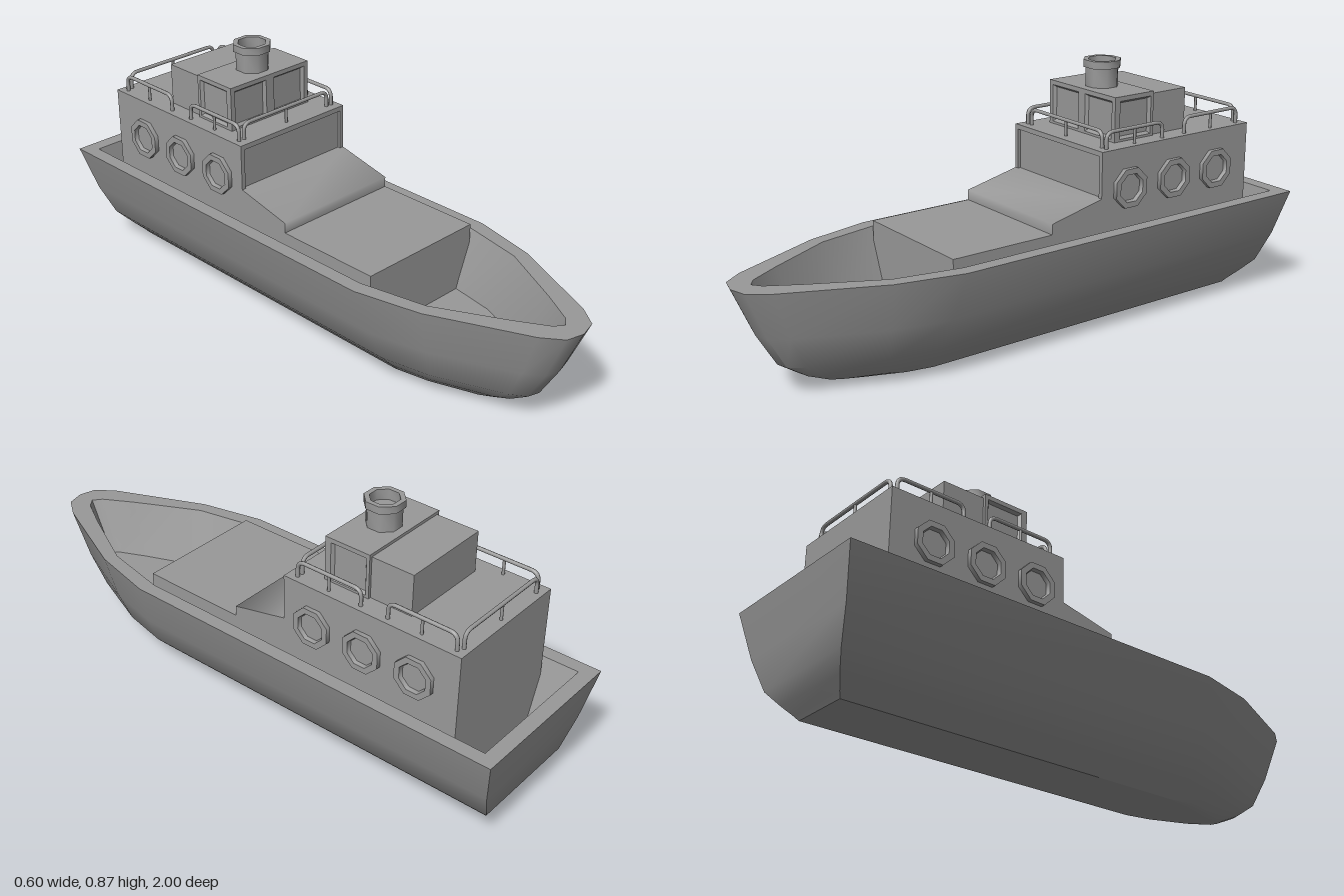
import * as THREE from 'three';
import { toCreasedNormals } from 'three/addons/utils/BufferGeometryUtils.js';

const material = new THREE.MeshStandardMaterial({ color: 0x999999, side: THREE.DoubleSide });

function add(parent, name, geometry, x = 0, y = 0, z = 0) {
  const mesh = new THREE.Mesh(geometry, material);
  mesh.name = name;
  mesh.position.set(x, y, z);
  parent.add(mesh);
  return mesh;
}

function box(parent, name, x0, x1, y0, y1, z0, z1) {
  return add(parent, name, new THREE.BoxGeometry(x1 - x0, y1 - y0, z1 - z0),
    (x0 + x1) / 2, (y0 + y1) / 2, (z0 + z1) / 2);
}

// Bow curves as fractions of half width and taper length
const outerBow = [[0.2, 0.975], [0.36, 0.87], [0.83, 0.36], [1, 0]];
const innerBow = [[0.12, 0.96], [0.36, 0.78], [0.82, 0.39], [1, 0]];

// Plan outline at one height: straight sides, pointed bow, flat stern
function hullRing([y, w, bow, stern, start, curve]) {
  const half = curve.map(([fx, fz]) => [fx * w, start + fz * (bow - start)]);
  half.push([w, stern]);
  const mirrored = half.map(([x, z]) => [-x, z]).reverse();
  return [[0, bow], ...half, ...mirrored].map(([x, z]) => [x, y, z]);
}

// Hull lofted up the outside, over the rim and down to the inner floor
function hullGeometry() {
  const levels = [
    // y, half width, bow z, stern z, where the taper starts, bow curve
    [0, 0.105, 0.63, -0.88, 0.38, outerBow],
    [0.015, 0.118, 0.71, -0.89, 0.4, outerBow],
    [0.05, 0.153, 0.79, -0.915, 0.41, outerBow],
    [0.1, 0.2, 0.865, -0.945, 0.41, outerBow],
    [0.21, 0.25, 0.93, -0.97, 0.4, outerBow],
    [0.37, 0.298, 1, -1, 0.38, outerBow],
    [0.37, 0.25, 0.935, -0.95, 0.36, innerBow],
    [0.18, 0.18, 0.85, -0.915, 0.34, innerBow],
  ];
  const rings = levels.map(hullRing);
  const n = rings[0].length;
  const positions = rings.flat(2);
  const index = [];
  for (let i = 0; i < rings.length - 1; i++) {
    for (let j = 0; j < n; j++) {
      const k = (j + 1) % n;
      const a = i * n + j, b = i * n + k, c = b + n, d = a + n;
      index.push(a, b, c, a, c, d);
    }
  }
  // Keel plate and inner floor
  const keel = rings.length * n, floor = keel + 1, top = (rings.length - 1) * n;
  positions.push(0, 0, 0, 0, 0.18, 0);
  for (let j = 0; j < n; j++) {
    const k = (j + 1) % n;
    index.push(keel, k, j, floor, top + j, top + k);
  }
  const geometry = new THREE.BufferGeometry();
  geometry.setAttribute('position', new THREE.Float32BufferAttribute(positions, 3));
  geometry.setIndex(index);
  return toCreasedNormals(geometry, 0.74);
}

const shapeOf = (points) => new THREE.Shape(points.map(([x, y]) => new THREE.Vector2(x, y)));

// Thin panel with square-edged openings [x0, x1, y0, y1]
function frameGeometry(w, h, depth, holes) {
  const shape = shapeOf([[-w / 2, 0], [w / 2, 0], [w / 2, h], [-w / 2, h]]);
  for (const [x0, x1, y0, y1] of holes) {
    shape.holes.push(new THREE.Path([[x0, y0], [x0, y1], [x1, y1], [x1, y0]]
      .map(([x, y]) => new THREE.Vector2(x, y))));
  }
  return new THREE.ExtrudeGeometry(shape, { depth, bevelEnabled: false });
}

// Wall panel with windows, each lined by a sloping reveal
function addWindowWall(parent, name, width, holes, x, z, turn) {
  const wall = new THREE.Group();
  wall.name = name;
  wall.position.set(x, 0.63, z);
  wall.rotation.y = turn;
  add(wall, 'windowFrame', frameGeometry(width, 0.15, 0.01, holes));
  for (const [x0, x1, y0, y1] of holes) {
    const reveal = new THREE.CylinderGeometry(1, 0.88, 0.01, 4, 1, true);
    reveal.rotateY(Math.PI / 4).rotateX(Math.PI / 2);
    reveal.scale((x1 - x0) * Math.SQRT1_2, (y1 - y0) * Math.SQRT1_2, 1);
    add(wall, 'windowReveal', toCreasedNormals(reveal, 0.5), (x0 + x1) / 2, (y0 + y1) / 2, 0.005);
  }
  parent.add(wall);
}

// Eight-sided turned part with soft sides and sharp rims
function octagonLathe(profile) {
  const geometry = new THREE.LatheGeometry(profile.map(([r, y]) => new THREE.Vector2(r, y)), 8);
  geometry.rotateY(Math.PI / 8);
  return toCreasedNormals(geometry, 0.85);
}

// Handrail with rounded corners and a middle post, running along x
function addRail(parent, name, length, x, z, turned) {
  const rail = new THREE.Group();
  rail.name = name;
  const h = length / 2, t = 0.684, r = 0.028, y0 = 0.625;
  const v = (px, py) => new THREE.Vector3(px, py, 0);
  const path = new THREE.CurvePath();
  path.add(new THREE.LineCurve3(v(-h, y0), v(-h, t - r)));
  path.add(new THREE.QuadraticBezierCurve3(v(-h, t - r), v(-h, t), v(-h + r, t)));
  path.add(new THREE.LineCurve3(v(-h + r, t), v(h - r, t)));
  path.add(new THREE.QuadraticBezierCurve3(v(h - r, t), v(h, t), v(h, t - r)));
  path.add(new THREE.LineCurve3(v(h, t - r), v(h, y0)));
  add(rail, 'handrail', new THREE.TubeGeometry(path, 72, 0.0065, 8));
  add(rail, 'railPost', new THREE.CylinderGeometry(0.005, 0.005, t - y0, 8), 0, (t + y0) / 2, 0);
  rail.position.set(x, 0, z);
  if (turned) rail.rotation.y = Math.PI / 2;
  parent.add(rail);
}

export function createModel() {
  const boat = new THREE.Group();
  boat.name = 'boat';
  add(boat, 'hull', hullGeometry());

  // Fore deck with the softly shaded step up to the cabin
  const deck = new THREE.ExtrudeGeometry(shapeOf([
    [-0.21, 0.18], [0.385, 0.18], [0.385, 0.395], [0.01, 0.395],
    [0.01, 0.43], [-0.19, 0.475], [-0.21, 0.475],
  ]), { depth: 0.46, bevelEnabled: false });
  deck.rotateY(-Math.PI / 2);
  add(boat, 'foreDeck', toCreasedNormals(deck, 1.4), 0.23, 0, 0);

  // Cabin with a shallow recessed front panel
  box(boat, 'cabin', -0.23, 0.23, 0.18, 0.63, -0.835, -0.2);
  const border = new THREE.ExtrudeGeometry(shapeOf([
    [-0.23, 0.47], [-0.215, 0.47], [-0.215, 0.613], [0.215, 0.613],
    [0.215, 0.47], [0.23, 0.47], [0.23, 0.63], [-0.23, 0.63],
  ]), { depth: 0.01, bevelEnabled: false });
  add(boat, 'cabinFrontBorder', border, 0, 0, -0.2);

  // Portholes
  const porthole = octagonLathe([
    [0.07, -0.01], [0.07, 0.015], [0.05, 0.015], [0.046, 0.002], [0, 0.002],
  ]);
  for (const side of [1, -1]) {
    for (const z of [-0.305, -0.495, -0.685]) {
      add(boat, 'porthole', porthole, side * 0.23, 0.495, z).rotation.z = -side * Math.PI / 2;
    }
  }

  // Wheelhouse: core, window walls and lower rear section
  const house = new THREE.Group();
  house.name = 'wheelhouse';
  house.position.x = -0.005;
  boat.add(house);
  box(house, 'wheelhouseCore', -0.16, 0.16, 0.62, 0.78, -0.46, -0.305);
  box(house, 'wheelhouseRear', -0.16, 0.16, 0.62, 0.77, -0.61, -0.455);
  addWindowWall(house, 'frontWindows', 0.34,
    [[-0.153, -0.017, 0.008, 0.135], [0.017, 0.153, 0.008, 0.135]], 0, -0.305, 0);
  for (const side of [1, -1]) {
    addWindowWall(house, 'sideWindow', 0.155, [[-0.066, 0.066, 0.008, 0.135]],
      side * 0.16, -0.3825, side * Math.PI / 2);
  }

  // Hollow funnel with a thicker lip
  add(house, 'funnel', octagonLathe([
    [0.057, 0.77], [0.057, 0.845], [0.065, 0.845], [0.065, 0.87],
    [0.048, 0.87], [0.048, 0.835], [0, 0.835],
  ]), 0, 0, -0.38);

  // Railings around the cabin roof
  addRail(boat, 'frontRail', 0.37, 0, -0.225, false);
  addRail(boat, 'rearRail', 0.37, 0, -0.812, false);
  for (const x of [0.206, -0.206]) {
    addRail(boat, 'foreSideRail', 0.24, x, -0.345, true);
    addRail(boat, 'aftSideRail', 0.24, x, -0.683, true);
  }
  return boat;
}
